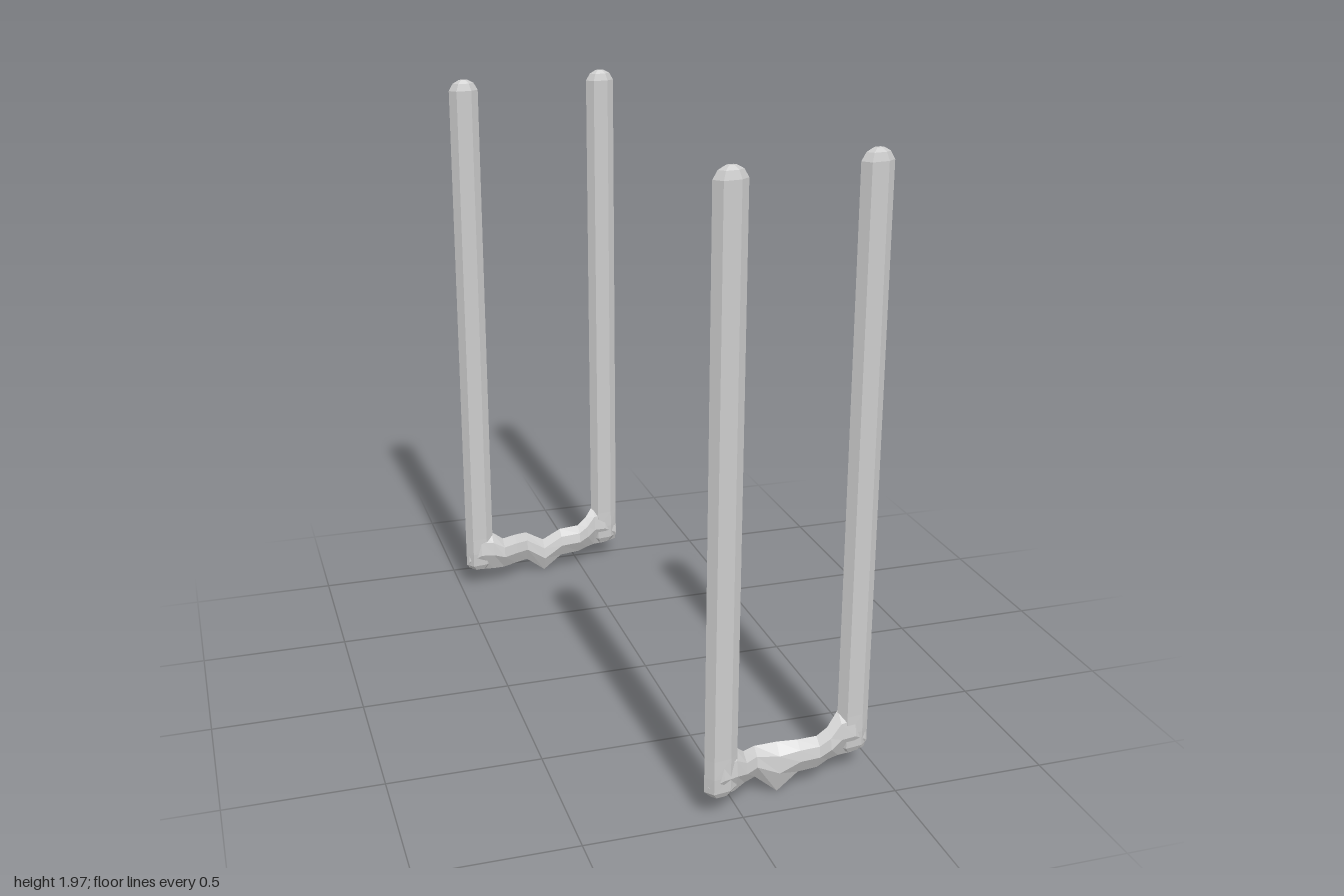
import * as THREE from 'three';

const material = new THREE.MeshStandardMaterial({ color: 0xcccccc, flatShading: true });

// Skin a list of equal-length rings of points and close both ends.
function loft(name, rings) {
  const pos = [];
  const tri = (a, b, c) => pos.push(...a, ...b, ...c);
  const n = rings[0].length;
  const centre = (r) => [0, 1, 2].map((k) => r.reduce((s, p) => s + p[k], 0) / n);
  const first = rings[0], last = rings[rings.length - 1];
  const c0 = centre(first), c1 = centre(last);
  for (let j = 0; j < n; j++) {
    const k = (j + 1) % n;
    for (let i = 0; i < rings.length - 1; i++) {
      const a = rings[i], b = rings[i + 1];
      tri(a[j], a[k], b[k]);
      tri(a[j], b[k], b[j]);
    }
    tri(c0, first[k], first[j]);
    tri(c1, last[j], last[k]);
  }
  const geometry = new THREE.BufferGeometry();
  geometry.setAttribute('position', new THREE.Float32BufferAttribute(pos, 3));
  geometry.computeVertexNormals();
  const mesh = new THREE.Mesh(geometry, material);
  mesh.name = name;
  return mesh;
}

// Flattened, slightly skewed hexagon [x, z] used for the uprights.
const SECTION = [[-0.053, 0.003], [-0.03, 0.029], [0.025, 0.021],
  [0.053, -0.003], [0.03, -0.029], [-0.025, -0.021]];

// Upright with a tapered foot and a blunt rounded tip: [y, scale].
function upright(name, x, z) {
  const levels = [[0.07, 0.6], [0.09, 1], [0.14, 1.08], [0.2, 1], [1.935, 1], [1.96, 0.72], [1.972, 0.3]];
  return loft(name, levels.map(([y, s]) =>
    SECTION.map(([u, w]) => [x + u * Math.min(s, 1), y, z + w * s])));
}

// Crossbar from stations [x, z, bottom, top, half depth].
function crossbar(name, stations) {
  return loft(name, stations.map(([x, z, b, t, d]) => {
    const h = t - b;
    return [[t, -0.4], [t - 0.22 * h, 0.7], [b + 0.45 * h, 1],
      [b, 0.1], [b + 0.3 * h, -0.8], [t - 0.3 * h, -1]].map(([y, w]) => [x, y, z + w * d]);
  }));
}

function fork(name, ends, stations) {
  const group = new THREE.Group();
  group.name = name;
  group.add(upright('rightUpright', ...ends[0]), upright('leftUpright', ...ends[1]),
    crossbar('crossbar', stations));
  return group;
}

export function createModel() {
  const model = new THREE.Group();
  model.name = 'twinForks';

  // Front fork: even crossbar with a spike underneath
  model.add(fork('frontFork', [[-0.062, 0.966], [0.42, 0.838]], [
    [-0.105, 0.968, 0.08, 0.14, 0.015],
    [-0.06, 0.965, 0.065, 0.22, 0.034],
    [-0.012, 0.948, 0.065, 0.21, 0.032],
    [0.03, 0.922, 0.07, 0.17, 0.03],
    [0.075, 0.893, 0.065, 0.165, 0.026],
    [0.15, 0.89, 0, 0.165, 0.026],
    [0.215, 0.897, 0.06, 0.165, 0.026],
    [0.28, 0.894, 0.063, 0.165, 0.026],
    [0.33, 0.862, 0.063, 0.168, 0.03],
    [0.37, 0.848, 0.063, 0.215, 0.03],
    [0.42, 0.838, 0.06, 0.22, 0.033],
    [0.465, 0.832, 0.068, 0.14, 0.015],
  ]));

  // Back fork: crossbar dips above its spike
  model.add(fork('backFork', [[-0.422, -0.842], [0.116, -0.962]], [
    [-0.467, -0.838, 0.08, 0.14, 0.015],
    [-0.42, -0.842, 0.065, 0.22, 0.034],
    [-0.37, -0.842, 0.062, 0.21, 0.03],
    [-0.325, -0.848, 0.06, 0.175, 0.03],
    [-0.27, -0.878, 0.058, 0.172, 0.028],
    [-0.22, -0.905, 0.055, 0.165, 0.026],
    [-0.15, -0.906, 0, 0.125, 0.026],
    [-0.08, -0.905, 0.055, 0.162, 0.026],
    [-0.005, -0.905, 0.062, 0.168, 0.028],
    [0.035, -0.932, 0.063, 0.185, 0.03],
    [0.07, -0.952, 0.063, 0.225, 0.03],
    [0.116, -0.965, 0.06, 0.22, 0.034],
    [0.165, -0.968, 0.07, 0.14, 0.015],
  ]));

  return model;
}
